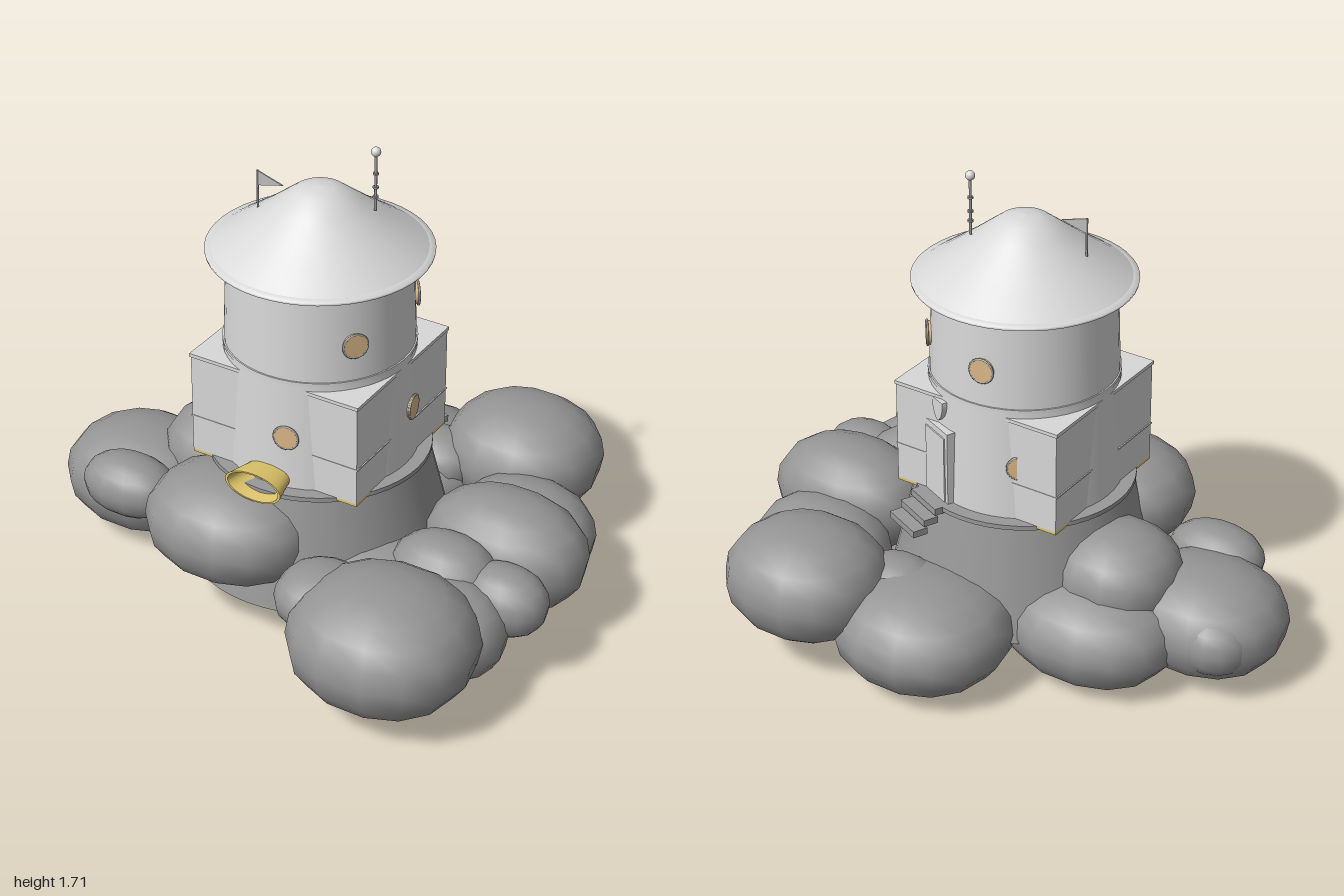
import * as THREE from 'three';

const CX = 0.012, CZ = 0.033; // tower axis

const mat = (name, color, side = THREE.FrontSide) => {
  const m = new THREE.MeshStandardMaterial({ color, side });
  m.name = name;
  return m;
};

export function createModel() {
  const wall = mat('pale grey', 0xd8d8d8);
  const rock = mat('rock grey', 0x959595);
  const trim = mat('trim grey', 0x9a9a9a);
  const gold = mat('gold', 0xdfc66c, THREE.DoubleSide);
  const glass = mat('amber glass', 0xdcb988);
  const cloth = mat('flag grey', 0xbcbcbc);

  const model = new THREE.Group();
  model.name = 'rockTower';
  const tower = new THREE.Group();
  tower.name = 'tower';
  tower.position.set(CX, 0, CZ);
  model.add(tower);

  const add = (parent, name, geo, material, x = 0, y = 0, z = 0) => {
    const m = new THREE.Mesh(geo, material);
    m.name = name;
    m.position.set(x, y, z);
    parent.add(m);
    return m;
  };
  // Solid ring or drum between two heights
  const drum = (name, rTop, rBottom, y0, y1, material) =>
    add(tower, name, new THREE.CylinderGeometry(rTop, rBottom, y1 - y0, 48), material, 0, (y0 + y1) / 2, 0);
  // Group on the tower facing outward; angle is from +z towards +x
  const facing = (name, degrees) => {
    const g = new THREE.Group();
    g.name = name;
    g.rotation.y = THREE.MathUtils.degToRad(degrees);
    tower.add(g);
    return g;
  };

  // Boulders: centre, then radii
  const boulders = [
    [-0.70, 0.22, 0.08, 0.30, 0.19, 0.26],
    [-0.62, 0.315, 0.30, 0.18, 0.11, 0.12],
    [-0.80, 0.22, -0.04, 0.15, 0.12, 0.13],
    [-0.39, 0.19, -0.15, 0.32, 0.185, 0.26],
    [-0.42, 0.35, -0.04, 0.23, 0.18, 0.22],
    [0.07, 0.20, -0.50, 0.31, 0.19, 0.30],
    [0.21, 0.29, -0.46, 0.16, 0.11, 0.13],
    [0.48, 0.32, -0.62, 0.29, 0.20, 0.26],
    [0.65, 0.22, -0.31, 0.26, 0.18, 0.20],
    [0.70, 0.31, -0.07, 0.30, 0.20, 0.21],
    [0.83, 0.30, 0.19, 0.16, 0.12, 0.12],
    [0.60, 0.31, 0.19, 0.20, 0.15, 0.15],
    [0.70, 0.23, 0.34, 0.21, 0.17, 0.17],
    [0.585, 0.285, 0.57, 0.325, 0.22, 0.30],
    [0.34, 0.34, 0.54, 0.17, 0.11, 0.16],
    [-0.13, 0.39, 0.38, 0.31, 0.19, 0.26],
    [0.37, 0.20, 0.22, 0.35, 0.185, 0.25],
  ];
  // Slightly squared unit sphere shared by all boulders
  const boulderGeo = new THREE.SphereGeometry(1, 14, 10);
  const pos = boulderGeo.attributes.position;
  const swell = v => Math.sign(v) * Math.abs(v) ** 0.9;
  for (let i = 0; i < pos.count; i++)
    pos.setXYZ(i, swell(pos.getX(i)), swell(pos.getY(i)), swell(pos.getZ(i)));
  boulders.forEach(([x, y, z, a, b, c], i) =>
    add(model, 'boulder' + (i + 1), boulderGeo, rock, x, y, z).scale.set(a, b, c));

  // Foundation and platform
  drum('foundation', 0.38, 0.48, 0.17, 0.575, rock);
  drum('platform', 0.392, 0.392, 0.575, 0.592, trim);

  // Round walls
  drum('lowerWall', 0.331, 0.345, 0.59, 1.0, wall);
  drum('wallBand', 0.333, 0.333, 0.995, 1.008, wall);
  drum('upperWall', 0.317, 0.328, 1.0, 1.32, wall);
  drum('corniceRing', 0.338, 0.335, 1.315, 1.335, wall);

  // Square block whose corners stand out of the round wall
  const slab = (name, w, d, y0, y1, material) =>
    add(tower, name, new THREE.BoxGeometry(w, y1 - y0, d), material, 0, (y0 + y1) / 2, 0);
  slab('cornerBlock', 0.654, 0.604, 0.592, 0.965, wall);
  slab('cornerLid', 0.662, 0.612, 0.963, 0.976, wall);
  slab('cornerTrim', 0.662, 0.608, 0.726, 0.731, wall);
  slab('cornerSole', 0.654, 0.604, 0.582, 0.592, gold);

  // Roof in three lathed bands, so the edges between them stay sharp
  const roof = (name, pts) =>
    add(tower, name, new THREE.LatheGeometry(pts.map(p => new THREE.Vector2(...p)), 48), wall);
  roof('roofSoffit', [[0, 1.335], [0.385, 1.335]]);
  roof('roofEdge', [[0.385, 1.335], [0.387, 1.345], [0.365, 1.35]]);
  roof('roofCone', [[0.365, 1.35], [0.29, 1.402], [0.21, 1.459], [0.14, 1.513],
    [0.085, 1.555], [0.045, 1.566], [0, 1.571]]);

  // Porthole windows: angle, height, wall radius
  const rimGeo = new THREE.TorusGeometry(0.043, 0.004, 8, 28);
  const glassGeo = new THREE.CylinderGeometry(0.042, 0.042, 0.03, 28).rotateX(Math.PI / 2);
  const windows = [[52, 1.14, 0.327], [129, 1.14, 0.327], [188, 1.14, 0.327],
    [12, 0.79, 0.338], [99, 0.79, 0.338], [211, 0.79, 0.338]];
  for (const [angle, y, r] of windows) {
    const g = facing('window', angle);
    add(g, 'windowRim', rimGeo, trim, 0, y, r + 0.006);
    add(g, 'windowGlass', glassGeo, glass, 0, y, r - 0.006);
  }

  // Back entrance: door, shield plate and steps
  const entry = facing('entrance', 156);
  add(entry, 'doorFrame', new THREE.BoxGeometry(0.15, 0.275, 0.06), wall, 0, 0.73, 0.328);
  add(entry, 'door', new THREE.BoxGeometry(0.12, 0.25, 0.006), wall, 0, 0.72, 0.36);
  const shield = new THREE.Shape();
  shield.moveTo(-0.032, 0.035);
  shield.lineTo(0.032, 0.035);
  shield.quadraticCurveTo(0.036, -0.02, 0, -0.045);
  shield.quadraticCurveTo(-0.036, -0.02, -0.032, 0.035);
  add(entry, 'shieldPlate', new THREE.ExtrudeGeometry(shield, { depth: 0.025, bevelEnabled: false }),
    wall, 0, 0.93, 0.325);
  for (let i = 0; i < 3; i++)
    add(entry, 'step' + (i + 1), new THREE.BoxGeometry(0.16, 0.025, 0.055), trim, 0, 0.58 - i * 0.031, 0.385 + i * 0.043);

  // Flared oval spout at the front
  const spout = new THREE.Group();
  spout.name = 'spout';
  spout.position.set(0, 0.622, 0.385);
  spout.scale.set(1, 0.5, 1);
  tower.add(spout);
  add(spout, 'spoutTube', new THREE.CylinderGeometry(0.11, 0.085, 0.1, 32, 1, true).rotateX(Math.PI / 2), gold);
  add(spout, 'spoutInside', new THREE.CylinderGeometry(0.1, 0.075, 0.1, 32, 1, true).rotateX(Math.PI / 2), gold);
  add(spout, 'spoutLip', new THREE.RingGeometry(0.1, 0.11, 32), gold, 0, 0, 0.05);

  // Antenna with rings and a ball
  const antenna = new THREE.Group();
  antenna.name = 'antenna';
  antenna.position.set(0.175, 0, -0.05);
  model.add(antenna);
  add(antenna, 'mast', new THREE.CylinderGeometry(0.005, 0.005, 0.21, 10), trim, 0, 1.59, 0);
  add(antenna, 'mastBall', new THREE.SphereGeometry(0.017, 16, 12), wall, 0, 1.7, 0);
  for (const y of [1.535, 1.57, 1.62])
    add(antenna, 'mastRing', new THREE.CylinderGeometry(0.01, 0.01, 0.007, 12), trim, 0, y, 0);

  // Pennant
  add(model, 'flagPole', new THREE.CylinderGeometry(0.004, 0.004, 0.14, 8), trim, -0.2, 1.52, 0.083);
  const pennant = new THREE.Shape([[0, 0.03], [0, -0.025], [0.1, 0]].map(p => new THREE.Vector2(...p)));
  add(model, 'flag', new THREE.ExtrudeGeometry(pennant, { depth: 0.005, bevelEnabled: false }),
    cloth, -0.2, 1.56, 0.0805);

  return model;
}
